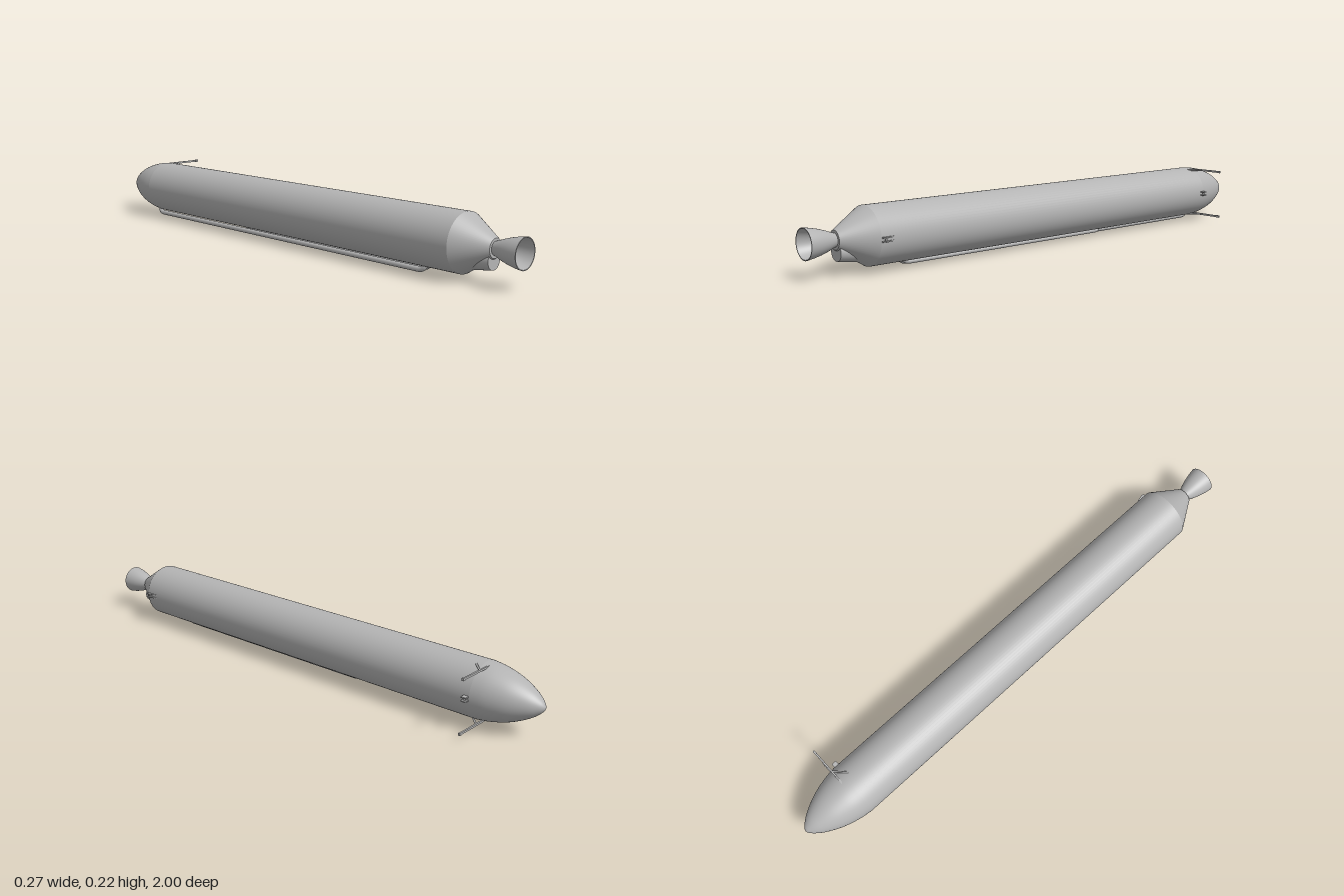
import * as THREE from 'three';

const CX = -0.037, CY = 0.123, R = 0.1; // axis of the rocket and its radius

export function createModel() {
  const model = new THREE.Group();
  const grey = new THREE.MeshStandardMaterial({ color: 0xb4b4b4 });
  grey.name = 'bodyGrey';
  grey.side = THREE.DoubleSide;

  const add = (name, geometry, parent = model) => {
    const mesh = new THREE.Mesh(geometry, grey);
    mesh.name = name;
    parent.add(mesh);
    return mesh;
  };
  // surface of revolution about the rocket axis, from [radius, z] pairs
  const turned = (name, pts) => {
    const g = new THREE.LatheGeometry(pts.map(([r, z]) => new THREE.Vector2(r, z)), 64);
    g.rotateX(Math.PI / 2);
    add(name, g).position.set(CX, CY, 0);
  };
  const box = (name, w, h, d, x, y, z, parent) => {
    const mesh = add(name, new THREE.BoxGeometry(w, h, d), parent);
    mesh.position.set(x, y, z);
    return mesh;
  };
  // round bar between two points
  const bar = (name, a, b, r, parent) => {
    const path = new THREE.LineCurve3(new THREE.Vector3(...a), new THREE.Vector3(...b));
    return add(name, new THREE.TubeGeometry(path, 1, r, 8), parent);
  };

  // hull
  const nose = new THREE.SplineCurve([
    [0, -1], [0.009, -0.997], [0.023, -0.985], [0.043, -0.96], [0.065, -0.92],
    [0.081, -0.88], [0.094, -0.83], [R, -0.785],
  ].map(p => new THREE.Vector2(...p))).getPoints(32).map(p => [Math.max(p.x, 0), p.y]);
  turned('noseCone', nose);
  turned('tankBody', [[R, -0.785], [R, 0.785]]);
  turned('tailCone', [[R, 0.785], [0.032, 0.895]]);
  turned('tailPlate', [[0.032, 0.895], [0, 0.895]]);

  // engine bell with an inner wall and a closed throat
  const bell = [[0.022, 0.892], [0.026, 0.905], [0.034, 0.925], [0.042, 0.95], [0.048, 0.975], [0.052, 1]];
  turned('nozzleOuter', bell);
  turned('nozzleRim', [[0.052, 1], [0.049, 1]]);
  turned('nozzleInner', bell.map(([r, z]) => [r - 0.003, z]).reverse());
  turned('nozzleThroat', [[0.02, 0.9], [0.014, 0.896], [0, 0.894]]);

  // exhaust fairing below the engine, widening into the hull
  const fairing = new THREE.CylinderGeometry(0.031, 0.039, 0.115, 32, 8);
  fairing.rotateX(Math.PI / 2);
  const fp = fairing.attributes.position;
  for (let i = 0; i < fp.count; i++) fp.setY(i, fp.getY(i) - 0.07 * (0.0575 - fp.getZ(i)));
  fairing.computeVertexNormals();
  add('exhaustFairing', fairing).position.set(CX, 0.084, 0.8325);

  // feed pipes under the hull, ends bent into the skin
  const pipe = (name, angle, dist, r, z0, z1) => {
    const at = (d, z) => new THREE.Vector3(
      CX - Math.sin(angle) * d, CY - Math.cos(angle) * d, z);
    const path = new THREE.CurvePath();
    const a = at(0.09, z0), b = at(dist, z0 - 0.025), c = at(dist, z1 + 0.025), d = at(0.09, z1);
    path.add(new THREE.QuadraticBezierCurve3(a, at(dist, z0), b));
    path.add(new THREE.LineCurve3(b, c));
    path.add(new THREE.QuadraticBezierCurve3(c, at(dist, z1), d));
    add(name, new THREE.TubeGeometry(path, 240, r, 12));
  };
  pipe('longPipe', 0.22, 0.112, 0.0095, 0.64, -0.81);
  pipe('shortPipe', 0, 0.107, 0.008, 0.64, -0.265);

  // forward arms, one above and one below, each with a brace
  for (const s of [1, -1]) {
    const arm = new THREE.Group();
    arm.name = s > 0 ? 'upperArm' : 'lowerArm';
    const y = CY + s * 0.093;
    box('armBar', 0.155, 0.007, 0.006, 0.055, y, -0.802, arm);
    box('armTip', 0.012, 0.009, 0.007, 0.127, y, -0.802, arm);
    bar('armBrace', [-0.006, y, -0.762], [0.036, y, -0.802], 0.0035, arm);
    model.add(arm);
  }

  // forward side bracket: two lugs and a pin
  const bracket = new THREE.Group();
  bracket.name = 'forwardBracket';
  for (const s of [1, -1]) box('lug', 0.022, 0.004, 0.018, 0.069, CY + s * 0.0065, -0.775, bracket);
  bar('pin', [0.07, CY - 0.008, -0.775], [0.07, CY + 0.008, -0.775], 0.004, bracket);
  model.add(bracket);

  // aft side bracket: two wedge fins and a crosspiece
  const aft = new THREE.Group();
  aft.name = 'aftBracket';
  const wedge = new THREE.Shape([[0.058, -0.72], [0.074, -0.775], [0.07, -0.784], [0.058, -0.784]]
    .map(p => new THREE.Vector2(...p)));
  for (const s of [1, -1]) {
    const g = new THREE.ExtrudeGeometry(wedge, { depth: 0.004, bevelEnabled: false });
    g.rotateX(-Math.PI / 2);
    add('wedgeFin', g, aft).position.y = CY + s * 0.0065 - 0.002;
  }
  box('crosspiece', 0.01, 0.012, 0.006, 0.064, CY, 0.77, aft);
  model.add(aft);

  return model;
}
